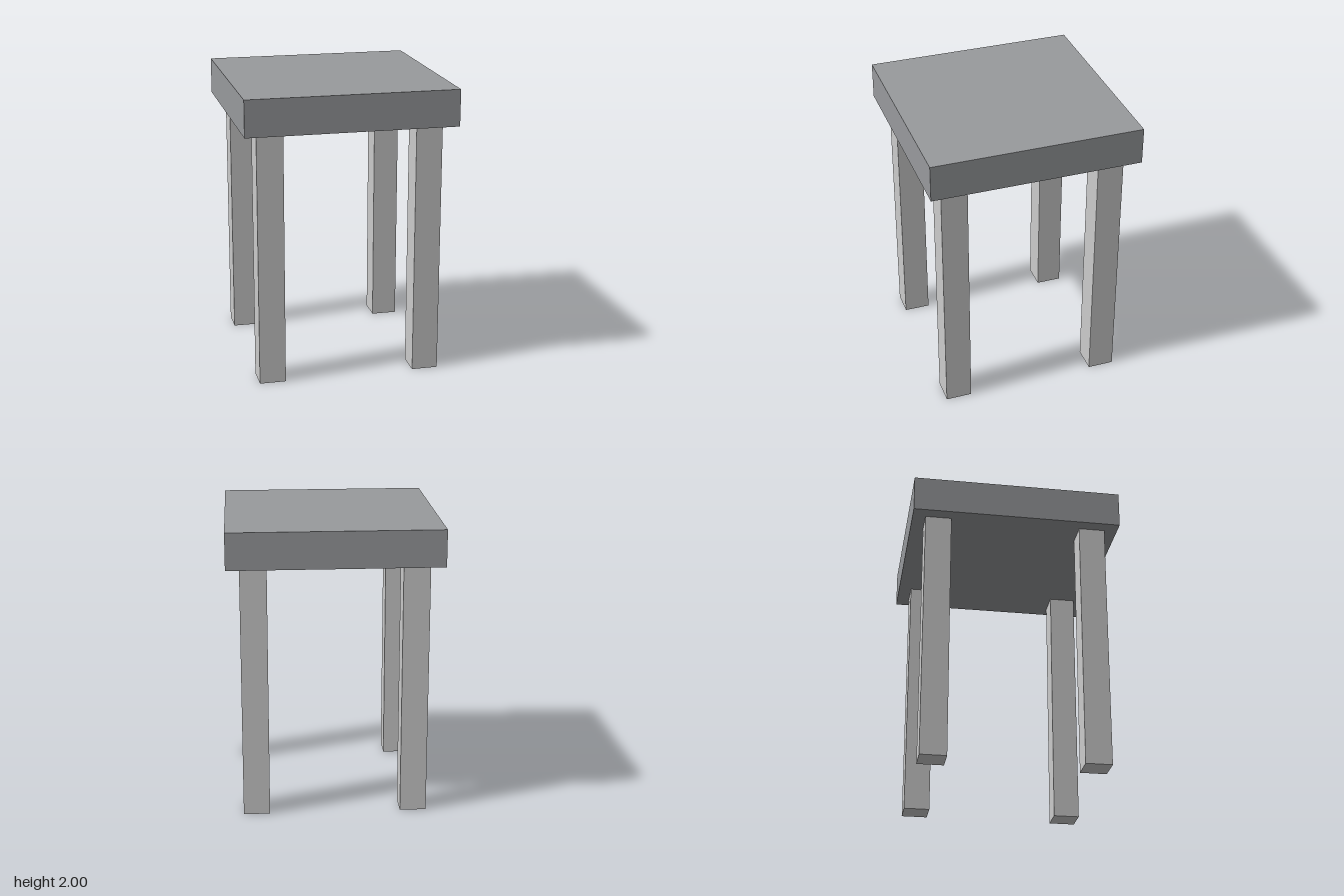
import * as THREE from 'three';

const SEAT = { width: 1.44, thickness: 0.25 };
const LEG = { width: 0.18, height: 1.75, offset: 0.54 };

export function createModel() {
  const stool = new THREE.Group();
  stool.name = 'stool';

  const seatMaterial = new THREE.MeshStandardMaterial({ color: 0x989a9d });
  const legMaterial = new THREE.MeshStandardMaterial({ color: 0xcccccc });

  // Thick square seat
  const seat = new THREE.Mesh(
    new THREE.BoxGeometry(SEAT.width, SEAT.thickness, SEAT.width), seatMaterial);
  seat.name = 'seat';
  seat.position.y = LEG.height + SEAT.thickness / 2;
  stool.add(seat);

  // Four square legs, set in from the seat edges
  const legGeometry = new THREE.BoxGeometry(LEG.width, LEG.height, LEG.width);
  for (const [z, end] of [[1, 'front'], [-1, 'back']]) {
    for (const [x, side] of [[1, 'Left'], [-1, 'Right']]) {
      const leg = new THREE.Mesh(legGeometry, legMaterial);
      leg.name = `${end}${side}Leg`;
      leg.position.set(x * LEG.offset, LEG.height / 2, z * LEG.offset);
      stool.add(leg);
    }
  }

  return stool;
}
